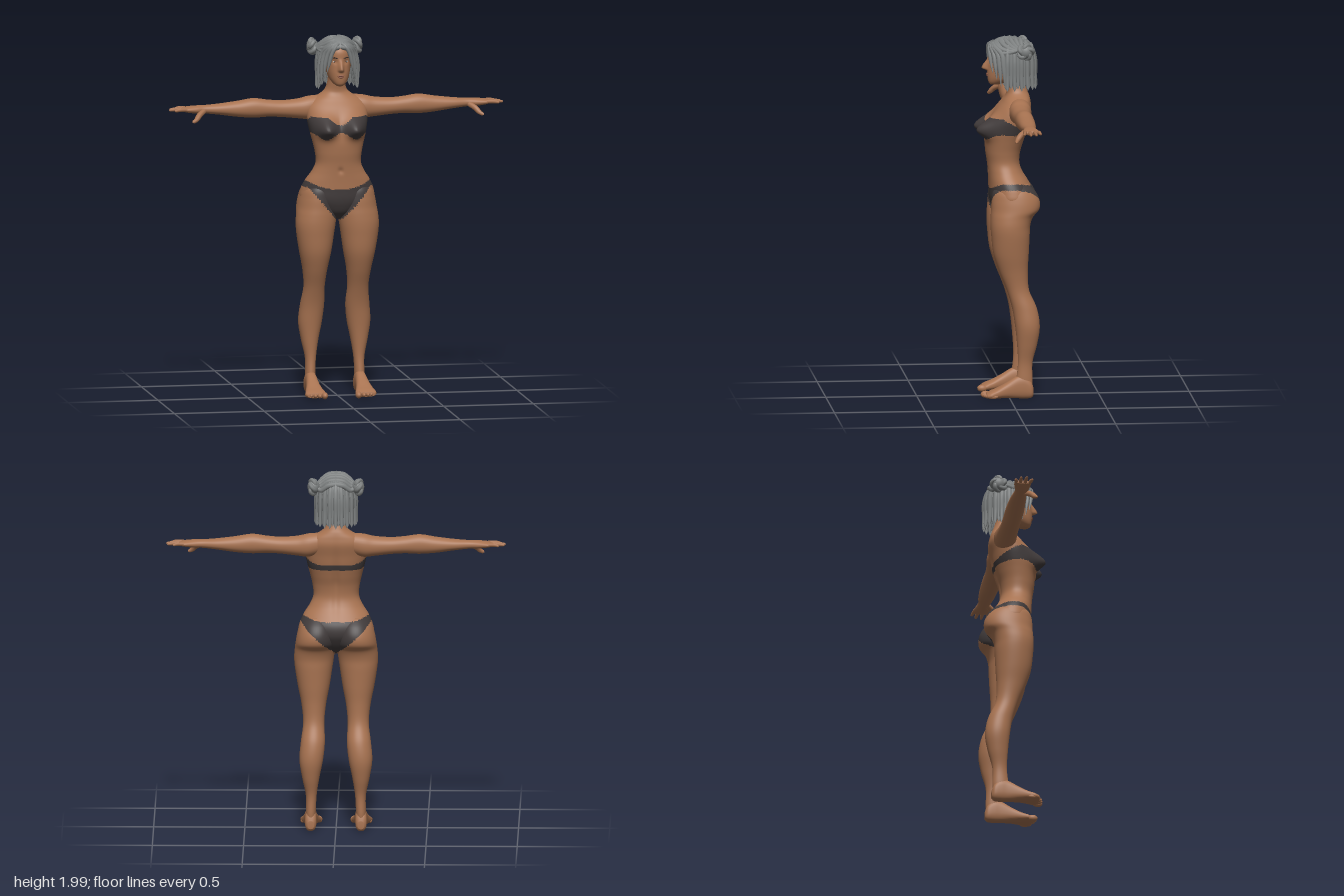
import * as THREE from 'three';

const mat = (name, color, side = THREE.FrontSide) => {
  const m = new THREE.MeshStandardMaterial({ color, side });
  m.name = name;
  return m;
};
const V = (x, y, z) => new THREE.Vector3(x, y, z);
const step = THREE.MathUtils.smoothstep, lerp = THREE.MathUtils.lerp;
const bell = (d, s) => Math.exp(-(d / s) * (d / s));

// Smooth loft: rows are [t, a0, a1, b0, b1] = position along the axis and extents of the ring
function loft(rows, axis, { around = 32, steps = 6, power = 2, deform, paint } = {}) {
  const pos = [], lists = [[], []], flip = axis === 'y';
  const spow = v => Math.sign(v) * Math.abs(v) ** (2 / power);
  const place = (t, a, b) => {
    const p = axis === 'y' ? V(a, t, b) : axis === 'x' ? V(t, a, b) : V(a, b, t);
    if (deform) deform(p);
    pos.push(p.x, p.y, p.z);
  };
  const at = i => rows[Math.max(0, Math.min(rows.length - 1, i))];
  const rings = [];
  for (let i = 0; i < rows.length - 1; i++)
    for (let k = 0; k < steps + (i === rows.length - 2 ? 1 : 0); k++) {
      const u = k / steps, q = [at(i - 1), at(i), at(i + 1), at(i + 2)];
      rings.push(at(i).map((_, c) => {
        const [p0, p1, p2, p3] = q.map(r => r[c]);
        return p1 + 0.5 * u * (p2 - p0 + u * (2 * p0 - 5 * p1 + 4 * p2 - p3 + u * (3 * (p1 - p2) + p3 - p0)));
      }));
    }
  for (const [t, a0, a1, b0, b1] of rings)
    for (let j = 0; j < around; j++) {
      const w = j / around * Math.PI * 2;
      place(t, (a0 + a1) / 2 + (a1 - a0) / 2 * spow(Math.cos(w)), (b0 + b1) / 2 + (b1 - b0) / 2 * spow(Math.sin(w)));
    }
  const ends = [rings[0], rings[rings.length - 1]];
  ends.forEach(([t, a0, a1, b0, b1]) => place(t, (a0 + a1) / 2, (b0 + b1) / 2));
  const tri = (a, b, c) => {
    const mid = k => (pos[a * 3 + k] + pos[b * 3 + k] + pos[c * 3 + k]) / 3;
    const list = lists[paint && paint(mid(0), mid(1), mid(2)) ? 1 : 0];
    if (flip) list.push(a, c, b); else list.push(a, b, c);
  };
  const last = rings.length - 1, c0 = rings.length * around;
  for (let j = 0; j < around; j++) {
    const n = (j + 1) % around;
    for (let i = 0; i < last; i++) {
      const a = i * around + j, b = i * around + n;
      tri(a, b, b + around);
      tri(a, b + around, a + around);
    }
    tri(c0, n, j);
    tri(c0 + 1, last * around + j, last * around + n);
  }
  const g = new THREE.BufferGeometry();
  g.setAttribute('position', new THREE.Float32BufferAttribute(pos, 3));
  g.setIndex([...lists[0], ...lists[1]]);
  if (paint) {
    g.addGroup(0, lists[0].length, 0);
    g.addGroup(lists[0].length, lists[1].length, 1);
  }
  g.computeVertexNormals();
  return g;
}

// Tapered tube for locks of hair, fingers and toes
function strand(points, r, tip = 0.35, root = 0.8, around = 8) {
  const curve = new THREE.CatmullRomCurve3(points), n = 16;
  const g = new THREE.TubeGeometry(curve, n, r, around), p = g.attributes.position;
  for (let i = 0; i < p.count; i++) {
    const u = Math.floor(i / (around + 1)) / n, c = curve.getPointAt(u);
    let k = lerp(root, 1, step(u, 0, 0.3)) * lerp(1, tip, step(u, 0.55, 1));
    if (u === 0 || u === 1) k = 0.02;
    const v = V().fromBufferAttribute(p, i).sub(c).multiplyScalar(k).add(c);
    p.setXYZ(i, v.x, v.y, v.z);
  }
  return g;
}

function ball(x, y, z, sx, sy, sz) {
  return new THREE.SphereGeometry(1, 20, 14).scale(sx, sy, sz).translate(x, y, z);
}

function mirrored(geo) {
  const g = geo.clone().scale(-1, 1, 1), ix = g.index;
  for (let i = 0; i < ix.count; i += 3) {
    const b = ix.getX(i + 1);
    ix.setX(i + 1, ix.getX(i + 2));
    ix.setX(i + 2, b);
  }
  return g;
}

// Where the two-piece outfit covers the body
function outfit(x, y, z) {
  const ax = Math.abs(x);
  if (y < 1.3) {
    const top = 1.155 + 0.042 * Math.min(1, (ax / 0.17) ** 2) + (z < 0 ? 0.02 * (1 - Math.min(1, ax / 0.17)) : 0);
    const low = z > -0.02 ? 0.965 + 1.16 * ax : 0.985 + 0.95 * ax;
    return y < top && y > Math.min(1.166, low);
  }
  const back = Math.min(1, Math.max(0, (0.03 - z) / 0.12));
  const top = z > 0.03 ? 1.515 + 0.042 * step(ax, 0.01, 0.08) : lerp(1.55, 1.487, back);
  const low = z > 0.03 ? 1.475 - 0.04 * bell(ax - 0.085, 0.05) : lerp(1.468, 1.455, back);
  return y < top && y > low;
}

export function createModel() {
  const model = new THREE.Group();
  const skin = mat('skin', 0xa87351), cloth = mat('dark cloth', 0x403a3a);
  const hair = mat('grey hair', 0x7d8080, THREE.DoubleSide), lip = mat('lips', 0x8c5745);
  const white = mat('eye white', 0xb5aaa0), dark = mat('iris and brows', 0x3b2c25);
  const add = (name, geo, material, both = false) => {
    [geo, ...(both ? [mirrored(geo)] : [])].forEach((g, i) => {
      const m = new THREE.Mesh(g, material);
      m.name = both ? (i ? 'right ' : 'left ') + name : name;
      model.add(m);
    });
  };

  // Torso and neck: [y, half width, back z, front z]
  const torso = [
    [0.985, 0.03, -0.05, 0.03], [1.02, 0.1, -0.09, 0.07], [1.06, 0.16, -0.12, 0.09], [1.1, 0.205, -0.138, 0.1],
    [1.15, 0.2, -0.135, 0.103], [1.2, 0.178, -0.11, 0.105], [1.25, 0.145, -0.08, 0.108], [1.3, 0.125, -0.065, 0.113],
    [1.36, 0.13, -0.07, 0.122], [1.42, 0.143, -0.088, 0.125], [1.48, 0.158, -0.105, 0.115], [1.54, 0.168, -0.115, 0.095],
    [1.6, 0.165, -0.128, 0.06], [1.64, 0.135, -0.125, 0.03], [1.67, 0.085, -0.118, 0.01], [1.695, 0.06, -0.108, 0.005],
    [1.74, 0.047, -0.092, 0.012], [1.79, 0.045, -0.085, 0.02]];
  add('torso', loft(torso.map(([y, w, b, f]) => [y, -w, w, b, f]), 'y', {
    around: 112, steps: 8, power: 2.2, paint: outfit,
    deform: p => {
      const front = step(p.z, 0.005, 0.06), dy = p.y - 1.49;
      p.z += front * 0.076 * bell(Math.abs(p.x) - 0.082, 0.052) * bell(dy, dy < 0 ? 0.045 : 0.06);
      p.z -= front * 0.008 * bell(p.x, 0.012) * bell(p.y - 1.26, 0.016);
      p.z += (1 - step(p.z, -0.08, -0.03)) * 0.012 * bell(p.x, 0.02) * bell(p.y - 1.38, 0.16);
    } }), [skin, cloth]);

  // Legs: [y, inner x, outer x, back z, front z]
  add('leg', loft([
    [0.04, 0.112, 0.163, -0.12, -0.04], [0.1, 0.11, 0.165, -0.125, -0.036], [0.2, 0.105, 0.165, -0.125, -0.045],
    [0.3, 0.09, 0.185, -0.15, -0.04], [0.4, 0.07, 0.2, -0.165, -0.03], [0.5, 0.06, 0.192, -0.15, -0.014],
    [0.6, 0.064, 0.18, -0.108, 0.016], [0.7, 0.054, 0.19, -0.1, 0.056], [0.8, 0.035, 0.21, -0.105, 0.088],
    [0.9, 0.02, 0.226, -0.11, 0.1], [0.96, 0.011, 0.23, -0.113, 0.104], [1.01, 0.005, 0.226, -0.13, 0.103],
    [1.05, 0.003, 0.221, -0.164, 0.1], [1.1, 0.004, 0.212, -0.166, 0.098], [1.15, 0.015, 0.196, -0.142, 0.09],
    [1.19, 0.04, 0.165, -0.1, 0.06]], 'y', { around: 56, power: 2.1, paint: outfit }), [skin, cloth], true);

  // Feet: [z, inner x, outer x, bottom y, top y]
  add('foot', loft([
    [-0.13, 0.12, 0.155, 0.018, 0.06], [-0.115, 0.108, 0.168, 0.004, 0.1], [-0.08, 0.105, 0.17, 0.001, 0.13],
    [-0.04, 0.105, 0.17, 0.003, 0.125], [0.02, 0.1, 0.178, 0.006, 0.09], [0.07, 0.09, 0.19, 0.005, 0.062],
    [0.105, 0.082, 0.198, 0.004, 0.047], [0.13, 0.09, 0.188, 0.008, 0.034]], 'z', { power: 2.5 }), skin, true);
  for (let i = 0; i < 5; i++) {
    const w = i ? 0.0125 - i * 0.0006 : 0.017;
    add('toe', ball([0.094, 0.123, 0.146, 0.167, 0.186][i], 0.02, 0.13 - i * i * 0.0022, w, w + 0.002, 0.027), skin, true);
  }

  // Arms and palms: [x, bottom y, top y, back z, front z]
  add('arm', loft([
    [0.08, 1.55, 1.662, -0.11, -0.005], [0.15, 1.53, 1.657, -0.117, 0.005], [0.21, 1.535, 1.644, -0.11, 0.002],
    [0.3, 1.545, 1.637, -0.102, 0], [0.38, 1.549, 1.643, -0.1, 0], [0.46, 1.546, 1.653, -0.1, 0],
    [0.55, 1.553, 1.64, -0.1, -0.004], [0.65, 1.567, 1.628, -0.095, -0.01], [0.73, 1.576, 1.622, -0.085, -0.02],
    [0.78, 1.577, 1.621, -0.09, -0.012], [0.83, 1.584, 1.616, -0.1, -0.008], [0.86, 1.592, 1.61, -0.098, -0.014]],
    'x', { power: 2.2 }), skin, true);
  [[-0.089, 0.893, -0.1], [-0.066, 0.925, -0.073], [-0.043, 0.932, -0.042], [-0.02, 0.905, -0.008]].forEach(([z, tip, tz]) =>
    add('finger', strand([V(0.83, 1.602, z), V(0.87, 1.603, (z + tz) / 2), V(tip, 1.598, tz)], 0.0105, 0.65, 1), skin, true));
  add('thumb', strand([V(0.735, 1.594, -0.035), V(0.77, 1.572, 0.002), V(0.79, 1.55, 0.02), V(0.812, 1.538, 0.029)],
    0.0155, 0.6, 1), skin, true);

  // Head with brow, eye sockets and nose: [y, half width, back z, front z]
  add('head', loft([
    [1.727, 0.016, 0.045, 0.092], [1.74, 0.034, 0.01, 0.104], [1.765, 0.052, -0.05, 0.11], [1.8, 0.063, -0.09, 0.112],
    [1.84, 0.07, -0.115, 0.109], [1.88, 0.073, -0.125, 0.108], [1.92, 0.073, -0.125, 0.104], [1.955, 0.06, -0.1, 0.078],
    [1.98, 0.03, -0.06, 0.035]].map(([y, w, b, f]) => [y, -w, w, b, f]), 'y', {
    around: 80, steps: 8, power: 2.2,
    deform: p => {
      if (p.z < 0.05) return;
      p.z += 0.032 * bell(p.x, 0.012) * step(p.y, 1.803, 1.82) * (1 - step(p.y, 1.822, 1.885));
      p.z -= 0.008 * bell(Math.abs(p.x) - 0.03, 0.016) * bell(p.y - 1.864, 0.014);
    } }), skin);
  add('ear', ball(0.074, 1.855, -0.012, 0.012, 0.034, 0.02), skin, true);
  add('eye', ball(0.03, 1.864, 0.088, 0.013, 0.0065, 0.0045), white, true);
  add('iris', ball(0.03, 1.864, 0.0905, 0.0055, 0.006, 0.0035), dark, true);
  add('brow', strand([V(0.014, 1.881, 0.104), V(0.032, 1.887, 0.099), V(0.05, 1.882, 0.085)], 0.0032), dark, true);
  add('upper lip', ball(0, 1.787, 0.111, 0.019, 0.0045, 0.006), lip);
  add('lower lip', ball(0, 1.779, 0.11, 0.016, 0.005, 0.007), lip);

  // Hair cap, tilted back from the forehead
  add('hair cap', new THREE.SphereGeometry(1, 40, 20, 0, Math.PI * 2, 0, 1.45).scale(0.098, 0.106, 0.13)
    .rotateX(-0.35).translate(0, 1.885, -0.015), hair);

  // Hanging locks around the sides and back
  const count = 25;
  for (let i = 0; i < count; i++) {
    const a = lerp(-1.8, 1.8, i / (count - 1)), odd = i % 2;
    const ring = (k, y) => V(Math.sin(a) * 0.101 * k, y, -0.02 - Math.cos(a) * 0.124 * k);
    const out = odd ? 0.96 : 1.02;
    add('hanging lock', strand([ring(0.3, 1.972), ring(0.8, 1.94), ring(out, 1.87), ring(out * 1.03, 1.78),
      ring(out * 1.08, odd ? 1.715 : 1.702)], 0.0165, 0.6), hair);
  }

  // Locks combed from the centre parting to the buns
  for (let i = 0; i < 9; i++) {
    const z = lerp(0.095, -0.125, i / 8), y = 1.984 - 3.2 * (z + 0.015) ** 2;
    add('combed lock', strand([V(-0.004, y, z), V(0.04, y - 0.008, z), V(0.08, y - 0.034, lerp(z, -0.08, 0.3)),
      V(0.108, 1.925, lerp(z, -0.085, 0.75))], 0.0155, 0.7), hair, true);
  }

  // Fringe framing the face
  [[0.05, 0.075, 1.8, 0.094, 0.011], [0.066, 0.086, 1.765, 0.074, 0.013], [0.078, 0.1, 1.73, 0.052, 0.015],
    [0.088, 0.112, 1.712, 0.03, 0.016]].forEach(([mx, ex, ey, z, r]) =>
    add('fringe lock', strand([V(0.004, 1.966, 0.078), V(mx * 0.6, 1.945, z * 0.4 + 0.065), V(mx, 1.905, z + 0.008),
      V(mx + 0.016, 1.84, z), V(ex, ey, z - 0.008)], r, 0.25), hair, true));

  // Twisted buns
  add('bun core', ball(0.122, 1.926, -0.088, 0.034, 0.04, 0.038), hair, true);
  add('bun twist', new THREE.TorusKnotGeometry(0.026, 0.0125, 90, 8, 2, 5).rotateY(Math.PI / 2)
    .translate(0.126, 1.926, -0.088), hair, true);

  return model;
}
